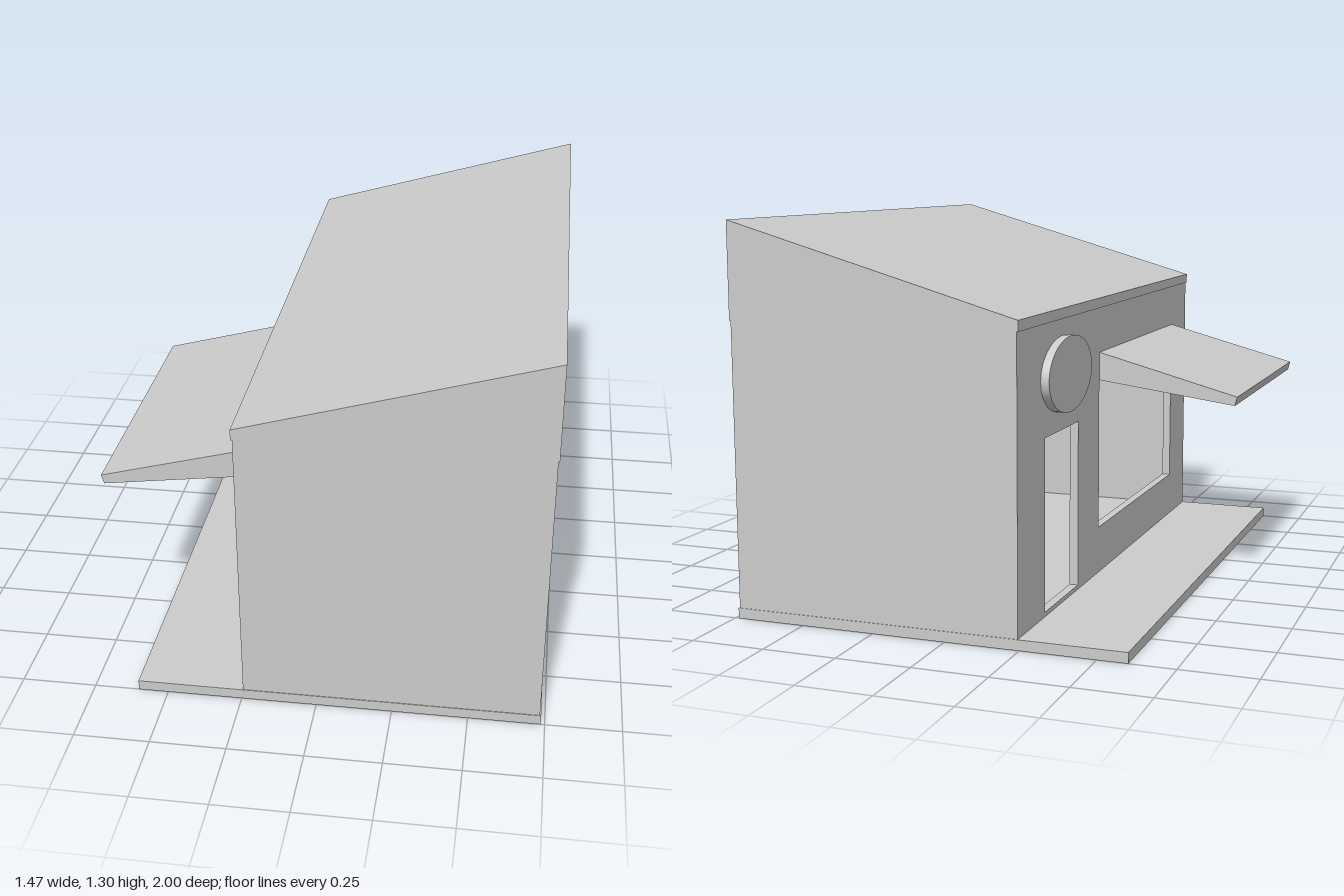
import * as THREE from 'three';

const material = new THREE.MeshStandardMaterial({ color: 0xcccccc, flatShading: true });
const smooth = new THREE.MeshStandardMaterial({ color: 0xcccccc });

const polygon = (points) => new THREE.Shape(points.map(([x, y]) => new THREE.Vector2(x, y)));
const rect = (x0, y0, x1, y1) => [[x0, y0], [x1, y0], [x1, y1], [x0, y1]];

export function createModel() {
  const group = new THREE.Group();

  const add = (name, geometry, mat = material) => {
    const mesh = new THREE.Mesh(geometry, mat);
    mesh.name = name;
    group.add(mesh);
    return mesh;
  };

  // Box given by its minimum and maximum corners
  const box = (name, [x0, y0, z0], [x1, y1, z1]) =>
    add(name, new THREE.BoxGeometry(x1 - x0, y1 - y0, z1 - z0))
      .position.set((x0 + x1) / 2, (y0 + y1) / 2, (z0 + z1) / 2);

  // Side profile in x and y, swept along z
  const prism = (name, points, z0, z1) => {
    const geometry = new THREE.ExtrudeGeometry(polygon(points), { depth: z1 - z0, bevelEnabled: false });
    add(name, geometry.translate(0, 0, z0));
  };

  const wall = 0.03, floorTop = 0.035, wallTop = 0.985;
  const shopFront = -0.245, shopBack = 0.733, end = 0.998;

  // Ground slab: pavement outside, floor inside
  box('groundSlab', [-0.6, 0, -1], [0.737, floorTop, 1]);

  // Back and end walls of the hollow shop
  box('backWall', [shopBack - wall, floorTop, -end], [shopBack, wallTop, end]);
  for (const [name, z] of [['leftEndWall', end - wall], ['rightEndWall', -end]]) {
    box(name, [shopFront + wall, floorTop, z], [shopBack - wall, wallTop, z + wall]);
  }

  // Shop front with door and window openings, drawn in z and y
  const front = polygon(rect(-end, floorTop, end, wallTop));
  front.holes.push(
    new THREE.Path(polygon(rect(-0.75, 0.05, -0.42, 0.62)).getPoints()),
    new THREE.Path(polygon(rect(-0.19, 0.2, 0.775, 0.73)).getPoints()),
  );
  const frontGeometry = new THREE.ExtrudeGeometry(front, { depth: wall, bevelEnabled: false });
  frontGeometry.rotateY(-Math.PI / 2).translate(shopFront + wall, 0, 0);
  add('shopFrontWall', frontGeometry);

  // Sloping roof
  prism('roof', [[-0.25, wallTop], [0.737, wallTop], [0.737, 1.305], [-0.25, 1.02]], -1, 1);

  // Tapered awning above the window
  prism('awning', [[shopFront, 0.73], [shopFront, 0.828], [-0.738, 0.695], [-0.73, 0.664]], -0.19, 0.783);

  // Oval sign above the door
  const sign = new THREE.CylinderGeometry(1, 1, 0.028, 48);
  sign.rotateZ(Math.PI / 2).scale(1, 0.125, 0.215);
  add('ovalSign', sign, smooth).position.set(-0.259, 0.805, -0.575);

  return group;
}
